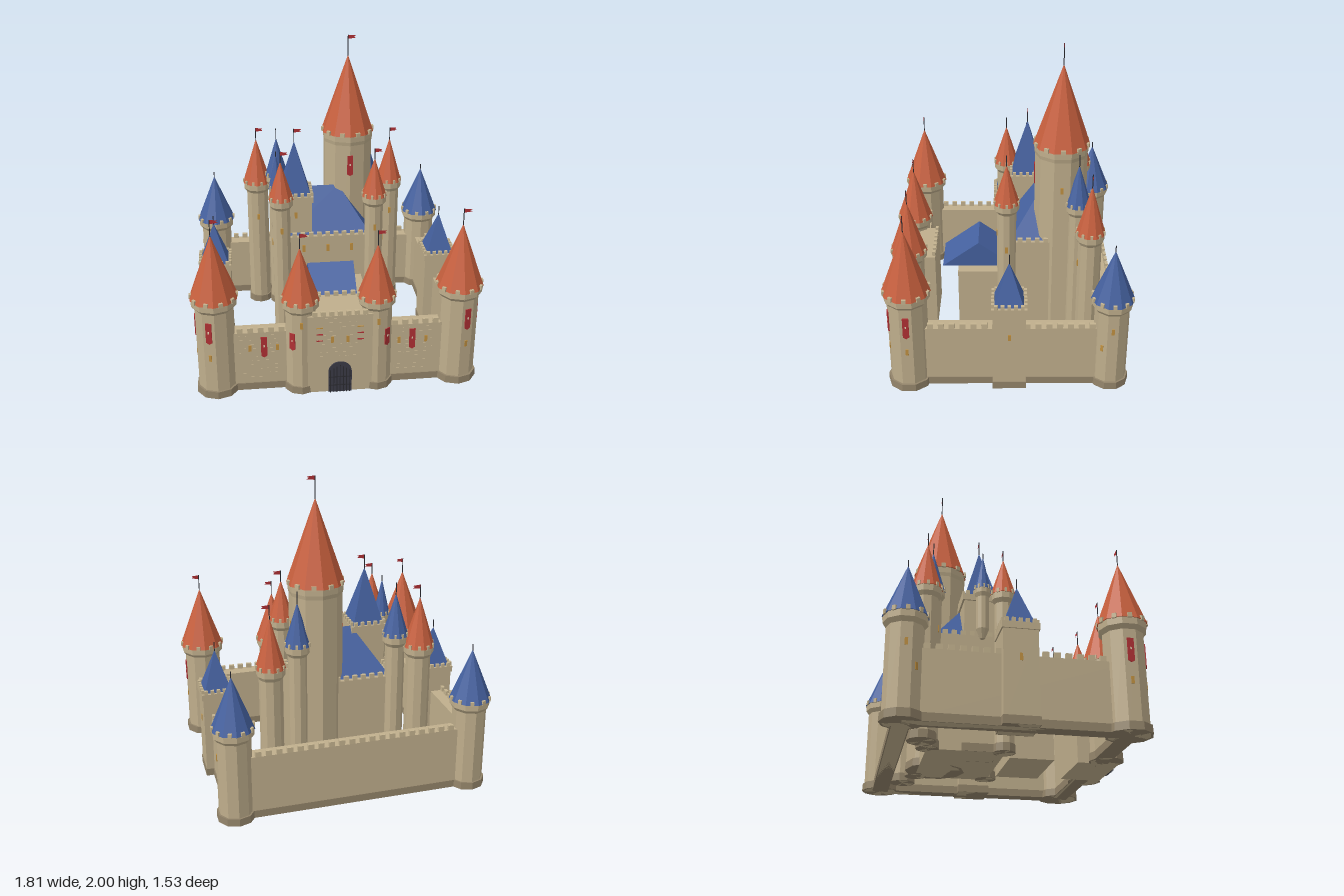
import * as THREE from 'three';
import { mergeGeometries } from 'three/addons/utils/BufferGeometryUtils.js';

const mat = (name, color, side = THREE.FrontSide) =>
  new THREE.MeshStandardMaterial({ name, color, side, flatShading: true });

export function createModel() {
  const root = new THREE.Group();
  root.name = 'castle';
  const stone = mat('stone', 0xbfae8c), base = mat('base stone', 0x93846a), trim = mat('trim stone', 0xc4b38f);
  const red = mat('red roof', 0xc8603e), blue = mat('blue roof', 0x45619f);
  const cloth = mat('red cloth', 0xb03034, THREE.DoubleSide), iron = mat('iron', 0x2a2a30);
  const gate = mat('gate dark', 0x3a3a46), lamp = mat('window gold', 0xc09040), pale = mat('pale emblem', 0xe0d0b0);

  const add = (parent, name, geo, m, x = 0, y = 0, z = 0) => {
    const mesh = new THREE.Mesh(geo, m);
    mesh.name = name;
    mesh.position.set(x, y, z);
    parent.add(mesh);
    return mesh;
  };
  const group = (name, x = 0, z = 0) => {
    const g = new THREE.Group();
    g.name = name;
    g.position.set(x, 0, z);
    root.add(g);
    return g;
  };
  // Box standing on y0
  const block = (p, name, m, w, h, d, x, y0, z) =>
    add(p, name, new THREE.BoxGeometry(w, h, d), m, x, y0 + h / 2, z);
  // Round drum from y0 to y1
  const drum = (p, name, m, r0, r1, y0, y1, n = 10) =>
    add(p, name, new THREE.CylinderGeometry(r1, r0, y1 - y0, n), m, 0, (y0 + y1) / 2, 0);

  // Row of merlons between two points
  const merlons = (p, ax, az, bx, bz, y, w = 0.036, h = 0.032, d = 0.02, pitch = 0.065) => {
    const len = Math.hypot(bx - ax, bz - az), n = Math.max(2, Math.round(len / pitch)), geos = [];
    for (let i = 0; i < n; i++) {
      const t = (i + 0.5) / n, g = new THREE.BoxGeometry(w, h, d);
      g.rotateY(-Math.atan2(bz - az, bx - ax));
      geos.push(g.translate(ax + (bx - ax) * t, y + h / 2, az + (bz - az) * t));
    }
    add(p, 'merlons', mergeGeometries(geos), trim);
  };
  const merlonSquare = (p, x0, x1, z0, z1, y, w, h, d, pitch) => {
    merlons(p, x0, z0, x1, z0, y, w, h, d, pitch);
    merlons(p, x0, z1, x1, z1, y, w, h, d, pitch);
    merlons(p, x0, z0, x0, z1, y, w, h, d, pitch);
    merlons(p, x1, z0, x1, z1, y, w, h, d, pitch);
  };

  // Pole with an optional pennant
  const pole = (p, y, top, flag) => {
    drum(p, 'pole', iron, 0.003, 0.003, y - 0.02, top, 6);
    if (!flag) return;
    const s = new THREE.Shape([[0, 0], [0.05, -0.004], [0.038, -0.012], [0.05, -0.02], [0, -0.026]]
      .map(([x, y]) => new THREE.Vector2(x, y)));
    add(p, 'flag', new THREE.ShapeGeometry(s), cloth, 0, top, 0);
  };

  // Slit window and hanging banner, facing angle a (0 is front)
  const slit = (p, a, r, y, h = 0.042) => {
    const m = add(p, 'window', new THREE.BoxGeometry(0.018, h, 0.006), lamp, Math.sin(a) * r, y, Math.cos(a) * r);
    m.rotation.y = a;
  };
  const banner = (p, a, r, y, x = 0, z = 0, h = 0.145) => {
    const w = 0.019, s = new THREE.Shape([[-w, h / 2], [-w, -h / 2 + 0.012], [0, -h / 2], [w, -h / 2 + 0.012], [w, h / 2]]
      .map(([x, y]) => new THREE.Vector2(x, y)));
    const g = new THREE.Group();
    g.name = 'banner';
    g.position.set(x + Math.sin(a) * r, y, z + Math.cos(a) * r);
    g.rotation.y = a;
    add(g, 'bannerCloth', new THREE.ExtrudeGeometry(s, { depth: 0.006, bevelEnabled: false }), cloth);
    add(g, 'bannerSpot', new THREE.BoxGeometry(0.008, 0.014, 0.002), pale, 0, 0.01, 0.007);
    p.add(g);
  };

  // Round tower: body radius r, crown top h, roof radius R up to peak
  const tower = (name, x, z, r, h, R, peak, roof, top, o = {}) => {
    const g = group(name, x, z), c = R * 0.955, band = o.band ?? 0.045, y0 = o.y0 ?? 0;
    if (!y0) drum(g, 'plinth', base, r * 1.12, r * 1.1, 0, 0.048);
    drum(g, 'body', stone, y0 ? r * 0.4 : r, r, y0, y0 ? y0 + 0.06 : h - band);
    if (y0) drum(g, 'upperBody', stone, r, r, y0 + 0.06, h - band);
    drum(g, 'corbel', stone, r, c, h - band - 0.02, h - band + 0.005);
    drum(g, 'crown', stone, c, c, h - band + 0.005, h);
    const n = 10, w = R * 0.17, geos = [];
    for (let i = 0; i < n; i++) {
      const b = new THREE.BoxGeometry(w, 0.028, w).translate(0, h + 0.01, c * 0.95);
      geos.push(b.rotateY((i + 0.5) / n * Math.PI * 2));
    }
    add(g, 'merlons', mergeGeometries(geos), trim);
    add(g, 'roof', new THREE.ConeGeometry(R, peak - h, n), roof, 0, (peak + h) / 2, 0);
    pole(g, peak, top, o.flag ?? true);
    return g;
  };

  // Square tower with pyramid roof
  const squareTower = (name, x, z, half, h, crown, roofHalf, peak, top, flag) => {
    const g = group(name, x, z);
    block(g, 'plinth', base, half * 2.08, 0.048, half * 2.08, 0, 0, 0);
    block(g, 'body', stone, half * 2, h - 0.03, half * 2, 0, 0, 0);
    block(g, 'crown', stone, crown * 2, 0.04, crown * 2, 0, h - 0.04, 0);
    const e = crown - 0.009;
    merlonSquare(g, -e, e, -e, e, h, 0.022, 0.025, 0.018, 0.043);
    const geo = new THREE.ConeGeometry(roofHalf * Math.SQRT2, peak - h, 4).rotateY(Math.PI / 4);
    add(g, 'roof', geo, blue, 0, (peak + h) / 2, 0);
    pole(g, peak, top, flag);
    return g;
  };

  // Curtain walls
  const walls = group('curtainWalls');
  const wall = (name, w, d, x, z) => {
    block(walls, name, stone, w, 0.41, d, x, 0, z);
    block(walls, name + 'Plinth', base, w + 0.012, 0.048, d + 0.012, x, 0, z);
  };
  wall('frontWall', 1.5, 0.095, 0, 0.607);
  wall('backWall', 1.5, 0.092, 0, -0.635);
  merlons(walls, -0.64, 0.645, 0.64, 0.645, 0.41);
  merlons(walls, -0.65, -0.671, 0.65, -0.671, 0.41);

  for (const s of [-1, 1]) {
    wall('sideWall', 0.09, 1.24, s * 0.76, -0.015);
    merlons(walls, s * 0.795, -0.55, s * 0.795, 0.5, 0.41);
    // Corner towers
    const f = tower('frontCornerTower', s * 0.755, 0.605, 0.122, 0.655, 0.149, 1.06, red, 1.16);
    const a = s * Math.PI / 10;
    banner(f, a, 0.117, 0.46);
    banner(f, s * Math.PI / 2, 0.117, 0.46);
    slit(f, a, 0.117, 0.285);
    slit(f, s * Math.PI / 2, 0.117, 0.285);
    const b = tower('backCornerTower', s * 0.755, -0.635, 0.107, 0.6, 0.132, 0.925, blue, 0.96, { flag: false });
    slit(b, s * Math.PI / 2, 0.103, 0.42);
    slit(b, s * Math.PI * 0.3, 0.103, 0.29);
    // Side wall towers
    const m = squareTower('sideTower', s * 0.755, -0.012, 0.1, 0.585, 0.108, 0.088, 0.845, 0.9, false);
    slit(m, s * Math.PI / 2, 0.101, 0.38);
    // Gate towers
    const t = tower('gateTower', s * 0.235, 0.64, 0.096, 0.625, 0.121, 0.97, red, 1.06);
    banner(t, s * Math.PI / 5, 0.094, 0.37, 0, 0, 0.12);
    slit(t, 0, 0.096, 0.49);
    // Front wall decoration
    banner(walls, 0, 0.655, 0.305, s * 0.463);
    for (const x of [0.38, 0.55]) add(walls, 'window', new THREE.BoxGeometry(0.018, 0.042, 0.006), lamp, s * x, 0.3, 0.656);
    // Keep corner turrets
    const k = tower('keepFrontTurret', s * 0.308, 0.003, 0.061, 1.01, 0.084, 1.27, red, 1.335);
    slit(k, 0, 0.061, 0.8);
    slit(k, s * Math.PI / 2, 0.059, 0.7);
    tower('keepBackTurret', s * 0.312, -0.445, 0.061, 1.0, 0.082, 1.27, blue, 1.34, { flag: false });
  }

  // Gatehouse with arched door, bars and trim strips
  const gh = group('gatehouse');
  block(gh, 'gateBlock', stone, 0.4, 0.545, 0.255, 0, 0, 0.603);
  merlons(gh, -0.18, 0.72, 0.18, 0.72, 0.545, 0.03, 0.028, 0.02, 0.052);
  merlons(gh, -0.19, 0.486, 0.19, 0.486, 0.545, 0.03, 0.028, 0.02, 0.052);
  const arch = new THREE.Shape();
  arch.moveTo(-0.073, 0);
  arch.lineTo(0.073, 0);
  arch.lineTo(0.073, 0.145);
  arch.absarc(0, 0.145, 0.073, 0, Math.PI);
  add(gh, 'gateDoor', new THREE.ExtrudeGeometry(arch, { depth: 0.008, bevelEnabled: false, curveSegments: 8 }), gate, 0, 0, 0.73);
  for (let i = -3; i <= 3; i++)
    block(gh, 'portcullisBar', iron, 0.005, 0.2 - Math.abs(i) * 0.012, 0.006, i * 0.02, 0, 0.741);
  for (const y of [0.05, 0.11]) block(gh, 'portcullisRail', iron, 0.14, 0.005, 0.006, 0, y, 0.741);
  for (const s of [-1, 1]) {
    add(gh, 'window', new THREE.BoxGeometry(0.018, 0.042, 0.006), lamp, s * 0.048, 0.38, 0.732);
    [0.465, 0.42, 0.375].forEach((y, i) =>
      add(gh, 'wallStrip', new THREE.BoxGeometry(0.04, 0.006, 0.006), i ? cloth : lamp, s * 0.125, y, 0.732));
  }

  // Shallow facing stones on the front
  let seed = 7;
  const rnd = () => (seed = (seed * 16807) % 2147483647) / 2147483647;
  const stones = [];
  const face = (x0, x1, y0, y1, z) => {
    for (let y = y0; y < y1; y += 0.03)
      for (let x = x0 + rnd() * 0.03; x < x1 - 0.05; x += 0.06)
        if (rnd() < 0.6) stones.push(new THREE.BoxGeometry(0.045, 0.02, 0.004).translate(x + 0.025, y, z));
  };
  face(-0.63, -0.34, 0.08, 0.4, 0.6545);
  face(0.34, 0.63, 0.08, 0.4, 0.6545);
  face(-0.15, 0.15, 0.25, 0.53, 0.7305);
  add(walls, 'facingStones', mergeGeometries(stones), stone);

  // Keep with hipped roof
  const keep = group('keep', 0, -0.22);
  block(keep, 'keepBody', stone, 0.63, 0.725, 0.46, 0, 0, 0);
  merlonSquare(keep, -0.305, 0.305, -0.22, 0.22, 0.725, 0.03, 0.028, 0.02, 0.055);
  const hip = new THREE.BoxGeometry(0.57, 0.275, 0.4);
  const hp = hip.attributes.position;
  for (let i = 0; i < hp.count; i++)
    if (hp.getY(i) > 0) hp.setXYZ(i, Math.sign(hp.getX(i)) * 0.095, hp.getY(i), 0);
  add(keep, 'keepRoof', hip, blue, 0, 0.8625, 0);
  for (const x of [-0.16, 0, 0.16]) add(keep, 'window', new THREE.BoxGeometry(0.02, 0.05, 0.006), lamp, x, 0.64, 0.232);

  // Great hall with gabled roof
  const hall = group('hall', 0, 0.19);
  block(hall, 'hallBody', stone, 0.44, 0.45, 0.27, 0, 0, 0);
  const gable = new THREE.Shape([[-0.24, 0], [0.24, 0], [0, 0.175]].map(([x, y]) => new THREE.Vector2(x, y)));
  const gableGeo = new THREE.ExtrudeGeometry(gable, { depth: 0.3, bevelEnabled: false });
  add(hall, 'hallRoof', gableGeo.translate(0, 0, -0.15).rotateY(Math.PI / 2), blue, 0, 0.451, 0);

  // Inner towers
  const great = tower('greatTower', 0.17, -0.34, 0.165, 1.355, 0.178, 1.87, red, 2.0);
  banner(great, 0, 0.163, 1.15);
  slit(great, Math.PI / 2, 0.158, 1.1);
  const sq = squareTower('keepSquareTower', -0.208, -0.137, 0.106, 1.0, 0.117, 0.1, 1.355, 1.44, true);
  slit(sq, 0, 0.107, 0.87);
  const lt = tower('leftWatchTower', -0.45, -0.495, 0.077, 0.935, 0.099, 1.25, red, 1.33);
  const rt = tower('rightWatchTower', 0.495, -0.51, 0.073, 0.9, 0.092, 1.215, red, 1.295);
  for (const [g, r] of [[lt, 0.077], [rt, 0.073]]) slit(g, 0, r, 0.69);
  tower('smallTurret', -0.33, -0.133, 0.04, 1.03, 0.054, 1.265, blue, 1.29, { flag: false, y0: 0.7, band: 0.035 });
  return root;
}
